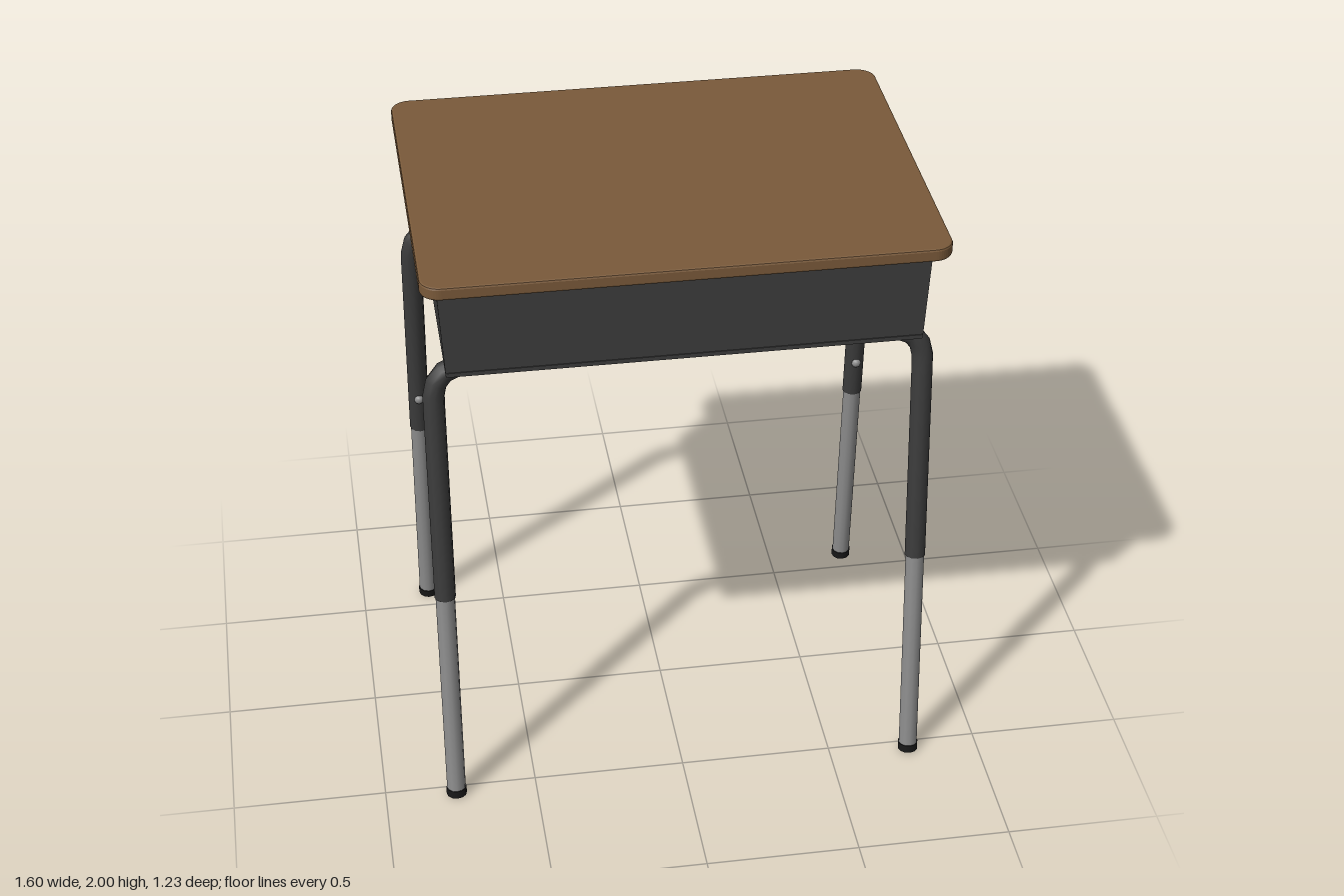
import * as THREE from 'three';

const material = (name, color) => new THREE.MeshStandardMaterial({ name, color });

export function createModel() {
  const wood = material('wood brown', 0x7a5a3a);
  const steel = material('painted dark steel', 0x3c3c3c);
  const chrome = material('grey steel', 0x8e8e8e);
  const rubber = material('black rubber', 0x181818);

  const desk = new THREE.Group();
  desk.name = 'schoolDesk';
  const add = (name, geometry, mat) => {
    const mesh = new THREE.Mesh(geometry, mat);
    mesh.name = name;
    desk.add(mesh);
    return mesh;
  };
  const box = (name, w, h, d, x, y, z, mat = steel) =>
    add(name, new THREE.BoxGeometry(w, h, d), mat).position.set(x, y, z);
  // Straight round bar between two points
  const rod = (name, a, b, radius, mat) => {
    const axis = b.clone().sub(a);
    const mesh = add(name, new THREE.CylinderGeometry(radius, radius, axis.length(), 12), mat);
    mesh.position.copy(a).add(b).multiplyScalar(0.5);
    mesh.quaternion.setFromUnitVectors(new THREE.Vector3(0, 1, 0), axis.normalize());
  };

  // Table top: rounded rectangle with a softened edge
  const bevel = 0.007, hw = 0.8 - bevel, hd = 0.6 - bevel, r = 0.055;
  const outline = new THREE.Shape();
  outline.absarc(hw - r, hd - r, r, 0, Math.PI / 2);
  outline.absarc(-hw + r, hd - r, r, Math.PI / 2, Math.PI);
  outline.absarc(-hw + r, -hd + r, r, Math.PI, Math.PI * 1.5);
  outline.absarc(hw - r, -hd + r, r, Math.PI * 1.5, Math.PI * 2);
  const top = new THREE.ExtrudeGeometry(outline, {
    depth: 0.042 - 2 * bevel, bevelSize: bevel, bevelThickness: bevel, bevelSegments: 2, curveSegments: 6,
  });
  top.rotateX(-Math.PI / 2).translate(0, 1.958 + bevel, 0.014);
  add('tableTop', top, wood);

  // Book tray: flanged U section, open at the back
  const section = [[0.785, 1.958], [0.785, 1.95], [0.75, 1.95], [0.732, 1.642]];
  const inner = [[0.72, 1.654], [0.738, 1.958]];
  const right = [...section, ...section.slice().reverse().map(([x, y]) => [-x, y])];
  const left = [...inner.slice().reverse().map(([x, y]) => [-x, y]), ...inner];
  const traySection = new THREE.Shape([...right, ...left].map(([x, y]) => new THREE.Vector2(x, y)));
  const tray = new THREE.ExtrudeGeometry(traySection, { depth: 1.03, bevelEnabled: false });
  tray.translate(0, 0, -0.5);
  add('bookTray', tray, steel);

  // Tray front panel, tapered like the sides
  const panelShape = new THREE.Shape(
    [[-0.732, 1.642], [0.732, 1.642], [0.75, 1.956], [-0.75, 1.956]].map(([x, y]) => new THREE.Vector2(x, y)));
  const panel = new THREE.ExtrudeGeometry(panelShape, { depth: 0.012, bevelEnabled: false });
  panel.translate(0, 0, 0.522);
  add('trayFront', panel, steel);
  box('trayFrontHem', 1.46, 0.014, 0.008, 0, 1.649, 0.533);
  box('trayBackLip', 1.45, 0.016, 0.01, 0, 1.65, -0.502);

  // Rails joining the two leg frames, with mounting bolts
  for (const x of [-0.53, 0.53]) {
    box('crossRail', 0.05, 0.076, 0.8, x, 1.604, -0.015);
    for (const z of [-0.3, 0.27]) {
      const bolt = add('railBolt', new THREE.CylinderGeometry(0.018, 0.018, 0.008, 10), steel);
      bolt.position.set(x, 1.563, z);
    }
  }

  // Leg frames: each splays outward from the top bar to the feet
  const legX = 0.766;
  for (const [side, topZ, footZ] of [[1, 0.41, 0.538], [-1, -0.442, -0.58]]) {
    const at = (x, y) => new THREE.Vector3(x, y, footZ + (topZ - footZ) * (y / 1.605));
    const path = new THREE.CurvePath();
    path.add(new THREE.LineCurve3(at(-legX, 0.775), at(-legX, 1.49)));
    path.add(new THREE.QuadraticBezierCurve3(at(-legX, 1.49), at(-legX, 1.605), at(-0.65, 1.605)));
    path.add(new THREE.LineCurve3(at(-0.65, 1.605), at(0.65, 1.605)));
    path.add(new THREE.QuadraticBezierCurve3(at(0.65, 1.605), at(legX, 1.605), at(legX, 1.49)));
    path.add(new THREE.LineCurve3(at(legX, 1.49), at(legX, 0.775)));
    add('upperLegFrame', new THREE.TubeGeometry(path, 72, 0.034, 12, false), steel);

    for (const x of [-legX, legX]) {
      rod('upperLegCollar', at(x, 0.775), at(x, 0.8), 0.0335, steel);
      rod('lowerLeg', at(x, 0.025), at(x, 0.9), 0.031, chrome);
      rod('foot', at(x, 0.003), at(x, 0.03), 0.0335, rubber);
      // Height adjustment screw on the inner face
      const screw = add('adjustmentScrew', new THREE.SphereGeometry(0.016, 10, 8), chrome);
      screw.position.copy(at(x, 0.912));
      screw.position.z -= side * 0.034;
      screw.scale.z = 0.8;
    }
  }
  return desk;
}
